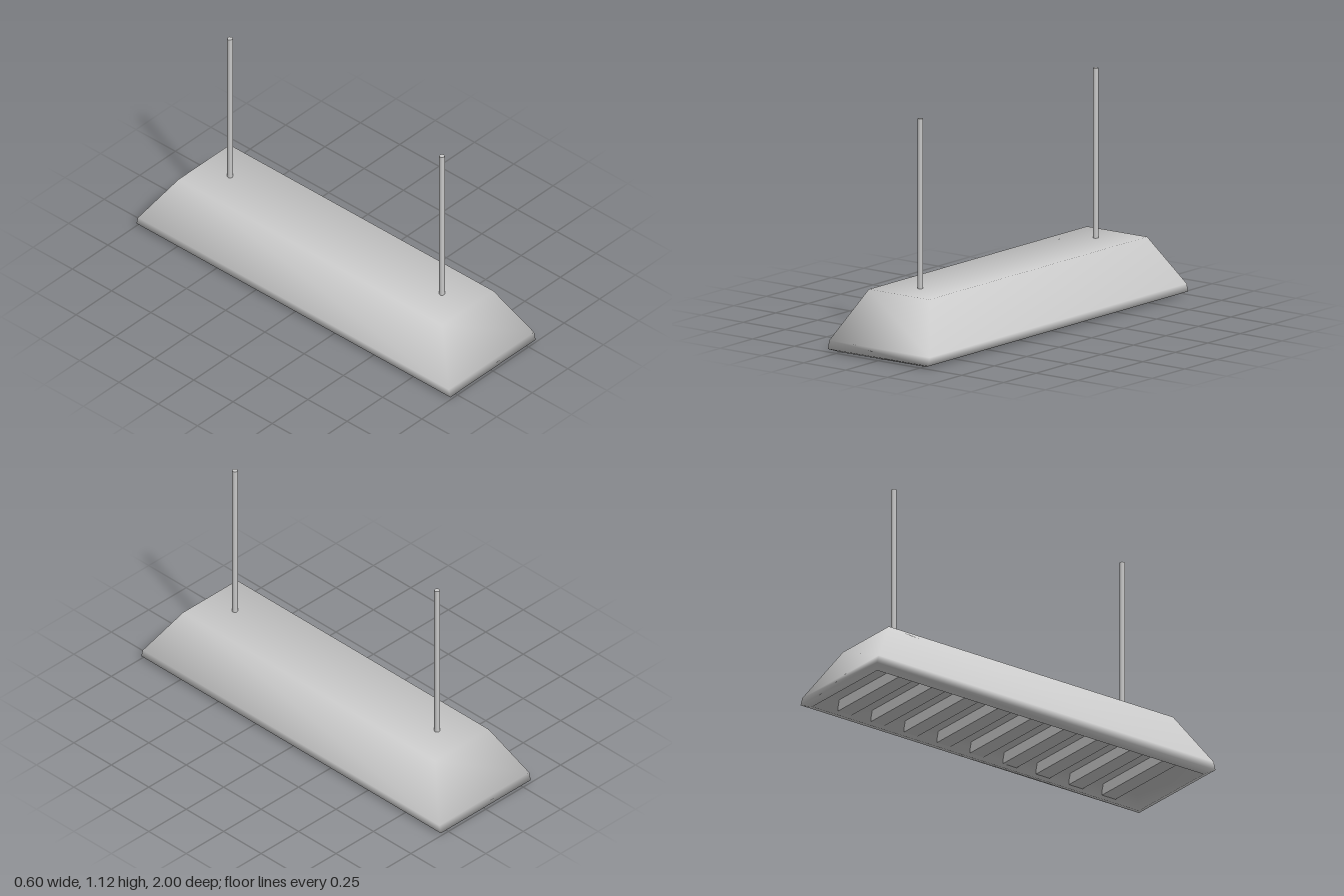
import * as THREE from 'three';

const material = new THREE.MeshStandardMaterial({ color: 0xcccccc });

// Rectangular rings [half width, half length, y] joined into one smooth closed skin
function loftRectangles(rings) {
  const corners = [[1, 1], [1, -1], [-1, -1], [-1, 1]];
  const positions = [];
  const index = [];
  for (const [hx, hz, y] of rings) {
    for (const [sx, sz] of corners) positions.push(sx * hx, y, sz * hz);
  }
  for (let r = 0; r < rings.length - 1; r++) {
    for (let i = 0; i < 4; i++) {
      const j = (i + 1) % 4;
      const a = r * 4;
      const b = a + 4;
      index.push(a + i, b + i, b + j, a + i, b + j, a + j);
    }
  }
  const e = (rings.length - 1) * 4;
  index.push(0, 1, 2, 0, 2, 3, e, e + 2, e + 1, e, e + 3, e + 2);
  const geometry = new THREE.BufferGeometry();
  geometry.setAttribute('position', new THREE.Float32BufferAttribute(positions, 3));
  geometry.setIndex(index);
  geometry.computeVertexNormals();
  return geometry;
}

export function createModel() {
  const group = new THREE.Group();
  const add = (name, geometry, x, y, z) => {
    const mesh = new THREE.Mesh(geometry, material);
    mesh.name = name;
    mesh.position.set(x, y, z);
    group.add(mesh);
    return mesh;
  };

  // Tapered lamp housing, with a rolled rim and a recess underneath
  add('housing', loftRectangles([
    [0.18, 0.84, 0.292],
    [0.30, 0.99, 0.055],
    [0.30, 1.00, 0.015],
    [0.255, 0.965, 0],
    [0.235, 0.94, 0.07],
  ]), 0, 0, 0);

  // Louvre slats across the recess
  const slat = new THREE.BoxGeometry(0.49, 0.055, 0.08);
  for (let i = -4; i <= 4; i++) add('louvreSlat', slat, 0, 0.0425, i * 0.195);

  // Two hanging rods
  const rod = new THREE.CylinderGeometry(0.0135, 0.0135, 0.835, 8);
  for (const z of [-0.675, 0.675]) add('hangingRod', rod, 0, 0.6975, z);

  return group;
}
